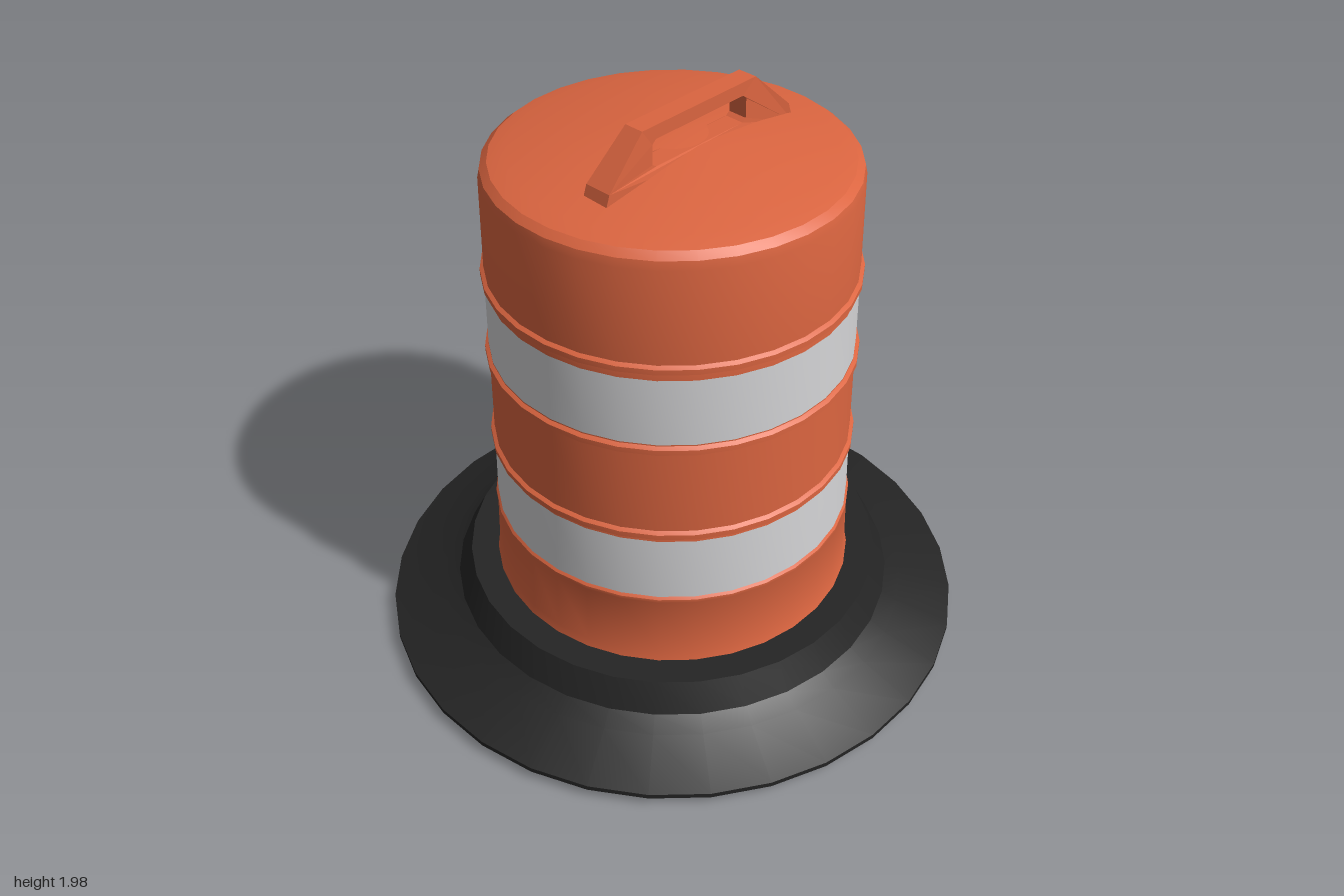
import * as THREE from 'three';
import { toCreasedNormals } from 'three/addons/utils/BufferGeometryUtils.js';

const SIDES = 32;

function createMaterials() {
  const make = (name, color) => {
    const m = new THREE.MeshStandardMaterial({ color });
    m.name = name;
    return m;
  };
  return {
    orange: make('orange plastic', 0xdb6540),
    white: make('reflective white', 0xd4d4d6),
    black: make('black rubber', 0x242424),
  };
}

// Turned part: profile of [radius, height] from the bottom up along the outside
function turned(name, profile, material) {
  const points = profile.map(([r, y]) => new THREE.Vector2(r, y));
  const lathe = new THREE.LatheGeometry(points, SIDES, Math.PI / SIDES);
  const mesh = new THREE.Mesh(toCreasedNormals(lathe, 0.45), material);
  mesh.name = name;
  return mesh;
}

// Small raised lip around the drum
const rib = (y, r) => [[r, y - 0.018], [r + 0.012, y - 0.01], [r + 0.012, y + 0.008], [r, y + 0.016]];

// Carrying handle: plate with a grip opening, feet flared in depth
function createHandle(material) {
  const shape = new THREE.Shape();
  [[-0.41, 1.78], [-0.385, 1.85], [-0.24, 1.987], [0.24, 1.987], [0.385, 1.85], [0.41, 1.78]]
    .forEach(([x, y], i) => (i ? shape.lineTo(x, y) : shape.moveTo(x, y)));
  const hole = new THREE.Path();
  [[-0.2, 1.865], [-0.185, 1.855], [0.185, 1.855], [0.2, 1.865],
    [0.2, 1.93], [0.185, 1.943], [-0.185, 1.943], [-0.2, 1.93]]
    .forEach(([x, y], i) => (i ? hole.lineTo(x, y) : hole.moveTo(x, y)));
  shape.holes.push(hole);

  const geometry = new THREE.ExtrudeGeometry(shape, { depth: 0.066, bevelEnabled: false });
  geometry.translate(0, 0, -0.033);
  const pos = geometry.attributes.position;
  for (let i = 0; i < pos.count; i++) {
    if (Math.abs(pos.getX(i)) > 0.3) pos.setZ(i, pos.getZ(i) * 1.4);
  }
  geometry.computeVertexNormals();
  const mesh = new THREE.Mesh(geometry, material);
  mesh.name = 'handle';
  mesh.position.z = 0.08;
  return mesh;
}

export function createModel() {
  const { orange, white, black } = createMaterials();
  const model = new THREE.Group();
  model.name = 'trafficDrum';

  // Heavy rubber foot ring
  model.add(turned('base', [
    [0, 0.004], [0.6, 0.008], [0.93, 0.018], [1.004, 0.038], [1.004, 0.055],
    [0.82, 0.12], [0.765, 0.155], [0.715, 0.252], [0.58, 0.252],
  ], black));

  // Drum wall, from the foot upwards
  model.add(turned('lowerBand', [
    [0.622, 0.245], [0.612, 0.28], [0.606, 0.495], [0.61, 0.505], [0.61, 0.517], [0.603, 0.525],
  ], orange));
  model.add(turned('lowerStripe', [[0.603, 0.525], [0.598, 0.757]], white));
  model.add(turned('middleBand', [
    [0.598, 0.757], ...rib(0.785, 0.597), ...rib(1.118, 0.593), [0.593, 1.138],
  ], orange));
  model.add(turned('upperStripe', [[0.593, 1.138], [0.59, 1.372]], white));

  // Upper wall with rounded shoulder and shallow domed lid
  model.add(turned('upperBandAndLid', [
    [0.59, 1.372], ...rib(1.41, 0.589), [0.584, 1.74], [0.578, 1.768], [0.555, 1.788],
    [0.5, 1.802], [0.3, 1.832], [0.1, 1.856], [0, 1.858],
  ], orange));

  model.add(createHandle(orange));
  return model;
}
